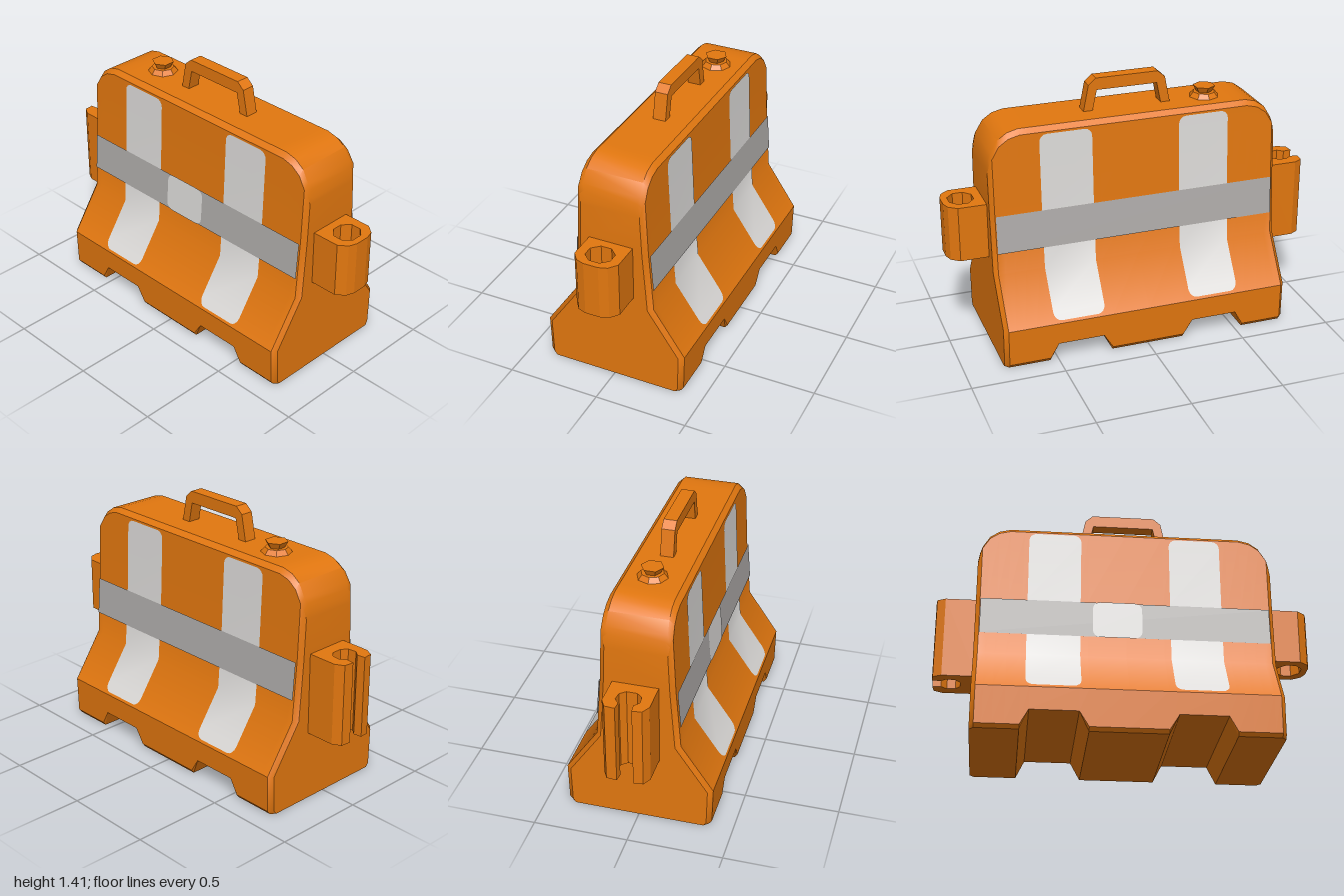
import * as THREE from 'three';
import { toCreasedNormals } from 'three/addons/utils/BufferGeometryUtils.js';

// Piecewise linear lookup in a list of [key, value] pairs
function lookup(table, k) {
  for (let i = 1; i < table.length; i++) {
    const [k0, v0] = table[i - 1], [k1, v1] = table[i];
    if (k <= k1) return v0 + (v1 - v0) * Math.max(0, (k - k0) / (k1 - k0));
  }
  return table[table.length - 1][1];
}

// Half depth of the barrier at each height, and its top and bottom edge along x
const PROFILE = [[0, 0.37], [0.02, 0.385], [0.22, 0.39], [0.47, 0.22], [0.8, 0.195], [1.24, 0.175]];
const TOP = [[0, 1.235], [0.62, 1.235], [0.68, 1.22], [0.73, 1.185], [0.765, 1.13], [0.78, 1.09], [0.79, 1.04]];
const BOTTOM = [[0, 0], [0.2, 0], [0.25, 0.1], [0.5, 0.1], [0.545, 0], [0.79, 0]];
const END_INSET = [[0, 0], [0.768, 0], [0.79, 0.025]];
const depthAt = (y) => lookup(PROFILE, y);

function meshFromTriangles(pos, crease) {
  const g = new THREE.BufferGeometry();
  g.setAttribute('position', new THREE.Float32BufferAttribute(pos, 3));
  return toCreasedNormals(g, crease);
}

function pushQuad(out, a, b, c, d) {
  for (const tri of [[a, b, c], [a, c, d]]) {
    const [p, q, r] = tri.map((v) => new THREE.Vector3(...v));
    if (q.sub(p).cross(r.sub(p)).length() > 1e-8) tri.forEach((v) => out.push(...v));
  }
}

// Body: cross-sections lofted along x, clipped by the top and bottom edges
function bodyGeometry() {
  const half = [0, 0.2, 0.25, 0.5, 0.545, 0.62, 0.68, 0.73, 0.768, 0.78, 0.79];
  const xs = [...half.slice(1).reverse().map((x) => -x), ...half];
  const rings = xs.map((x) => {
    const ax = Math.abs(x), yb = lookup(BOTTOM, ax), yt = lookup(TOP, ax);
    const ys = [0, 0.02, 0.22, 0.47, 0.8, yt - 0.025, yt].map((y) => Math.max(y, yb));
    const front = ys.map((y, i) => [x, y, depthAt(y) - lookup(END_INSET, ax) - (i === 6 ? 0.025 : 0)]);
    return [...front, ...front.map(([px, py, pz]) => [px, py, -pz]).reverse()];
  });
  const out = [], n = rings[0].length;
  for (let j = 0; j < rings.length - 1; j++) {
    for (let i = 0; i < n; i++) {
      const k = (i + 1) % n;
      pushQuad(out, rings[j][i], rings[j + 1][i], rings[j + 1][k], rings[j][k]);
    }
  }
  const L = rings[0], R = rings[rings.length - 1];
  for (let i = 0; i < n / 2 - 1; i++) {
    pushQuad(out, R[i], R[n - 1 - i], R[n - 2 - i], R[i + 1]);
    pushQuad(out, L[i], L[i + 1], L[n - 2 - i], L[n - 1 - i]);
  }
  return meshFromTriangles(out, 0.55);
}

// Reflective sheet that follows the front face, with rounded corners
function sheetGeometry(x0, x1, y0, y1, radius, lift) {
  const rows = [];
  for (let i = 0; i <= 4; i++) {
    const a = (i / 4) * Math.PI / 2;
    const inset = radius * (1 - Math.sin(a)), dy = radius * (1 - Math.cos(a));
    rows.push([y0 + dy, inset], [y1 - dy, inset]);
  }
  for (const [y] of PROFILE) if (y > y0 + radius && y < y1 - radius) rows.push([y, 0]);
  rows.sort((p, q) => p[0] - q[0]);
  const out = [];
  for (let i = 1; i < rows.length; i++) {
    const [ya, ia] = rows[i - 1], [yb, ib] = rows[i];
    const za = depthAt(ya) + lift, zb = depthAt(yb) + lift;
    pushQuad(out, [x0 + ia, ya, za], [x1 - ia, ya, za], [x1 - ib, yb, zb], [x0 + ib, yb, zb]);
  }
  return meshFromTriangles(out, 0.7);
}

const points = (list) => list.map(([x, y]) => new THREE.Vector2(x, y));

// Plan outline raised from y0 to y1
function upright(shape, y0, y1) {
  const g = new THREE.ExtrudeGeometry(shape, { depth: y1 - y0, bevelEnabled: false });
  return g.rotateX(-Math.PI / 2).translate(0, y0, 0);
}

export function createModel() {
  const orange = new THREE.MeshStandardMaterial({ color: 0xe2770f });
  orange.name = 'safetyOrange';
  const white = new THREE.MeshStandardMaterial({ color: 0xdddbd9, side: THREE.DoubleSide });
  white.name = 'reflectiveWhite';
  const grey = new THREE.MeshStandardMaterial({ color: 0xafacaa, side: THREE.DoubleSide });
  grey.name = 'reflectiveGrey';

  const model = new THREE.Group();
  model.name = 'roadBarrier';
  const add = (name, geometry, material, parent = model) => {
    const mesh = new THREE.Mesh(geometry, material);
    mesh.name = name;
    parent.add(mesh);
    return mesh;
  };

  add('body', bodyGeometry(), orange);

  // Reflective stripes on both faces
  for (const side of ['front', 'back']) {
    const stripes = new THREE.Group();
    stripes.name = side + 'Stripes';
    if (side === 'back') stripes.rotation.y = Math.PI;
    add('rightStripe', sheetGeometry(-0.52, -0.24, 0.235, 1.2, 0.04, 0.004), white, stripes);
    add('leftStripe', sheetGeometry(0.235, 0.51, 0.235, 1.2, 0.04, 0.004), white, stripes);
    add('crossBand', sheetGeometry(-0.765, 0.765, 0.585, 0.79, 0.004, 0.007), grey, stripes);
    if (side === 'front') add('centrePatch', sheetGeometry(-0.175, 0.085, 0.583, 0.793, 0.04, 0.0095), white, stripes);
    model.add(stripes);
  }

  // Carry handle
  const arch = new THREE.Shape(points([
    [-0.24, 1.225], [-0.19, 1.225], [-0.165, 1.345], [0.165, 1.345], [0.19, 1.225],
    [0.24, 1.225], [0.21, 1.375], [0.17, 1.41], [-0.17, 1.41], [-0.21, 1.375],
  ]));
  const handle = new THREE.ExtrudeGeometry(arch, { depth: 0.07, bevelEnabled: false });
  add('handle', handle.translate(0, 0, -0.035), orange);

  // Filler cap
  const capBase = toCreasedNormals(new THREE.CylinderGeometry(0.06, 0.085, 0.03, 8), 0.3);
  add('fillerCapBase', capBase, orange).position.set(-0.44, 1.245, -0.015);
  const capKnob = toCreasedNormals(new THREE.CylinderGeometry(0.06, 0.04, 0.035, 6), 0.3);
  add('fillerCapKnob', capKnob, orange).position.set(-0.44, 1.275, -0.015);

  // Linking eye on the left end
  const eye = new THREE.Shape(points([
    [0.77, -0.12], [0.94, -0.12], [0.985, -0.085], [1, -0.04],
    [1, 0.04], [0.985, 0.085], [0.94, 0.12], [0.77, 0.12],
  ]));
  eye.holes.push(new THREE.Path(points(Array.from({ length: 8 }, (_, i) => {
    const a = ((i + 0.5) / 8) * Math.PI * 2;
    return [0.9 + 0.07 * Math.cos(a), 0.075 * Math.sin(a)];
  }))));
  add('linkingEye', upright(eye, 0.53, 0.83), orange);

  // Open socket on the right end
  const socket = new THREE.Shape(points([
    [-0.77, -0.115], [-0.77, 0.125], [-0.95, 0.125], [-0.995, 0.1], [-1, 0.045],
    [-0.955, 0.04], [-0.925, 0.065], [-0.88, 0.06], [-0.855, 0.03], [-0.855, -0.025],
    [-0.88, -0.055], [-0.925, -0.06], [-0.955, -0.035], [-1, -0.04], [-0.995, -0.09], [-0.95, -0.115],
  ]));
  add('linkingSocket', upright(socket, 0.38, 0.82), orange);

  return model;
}
